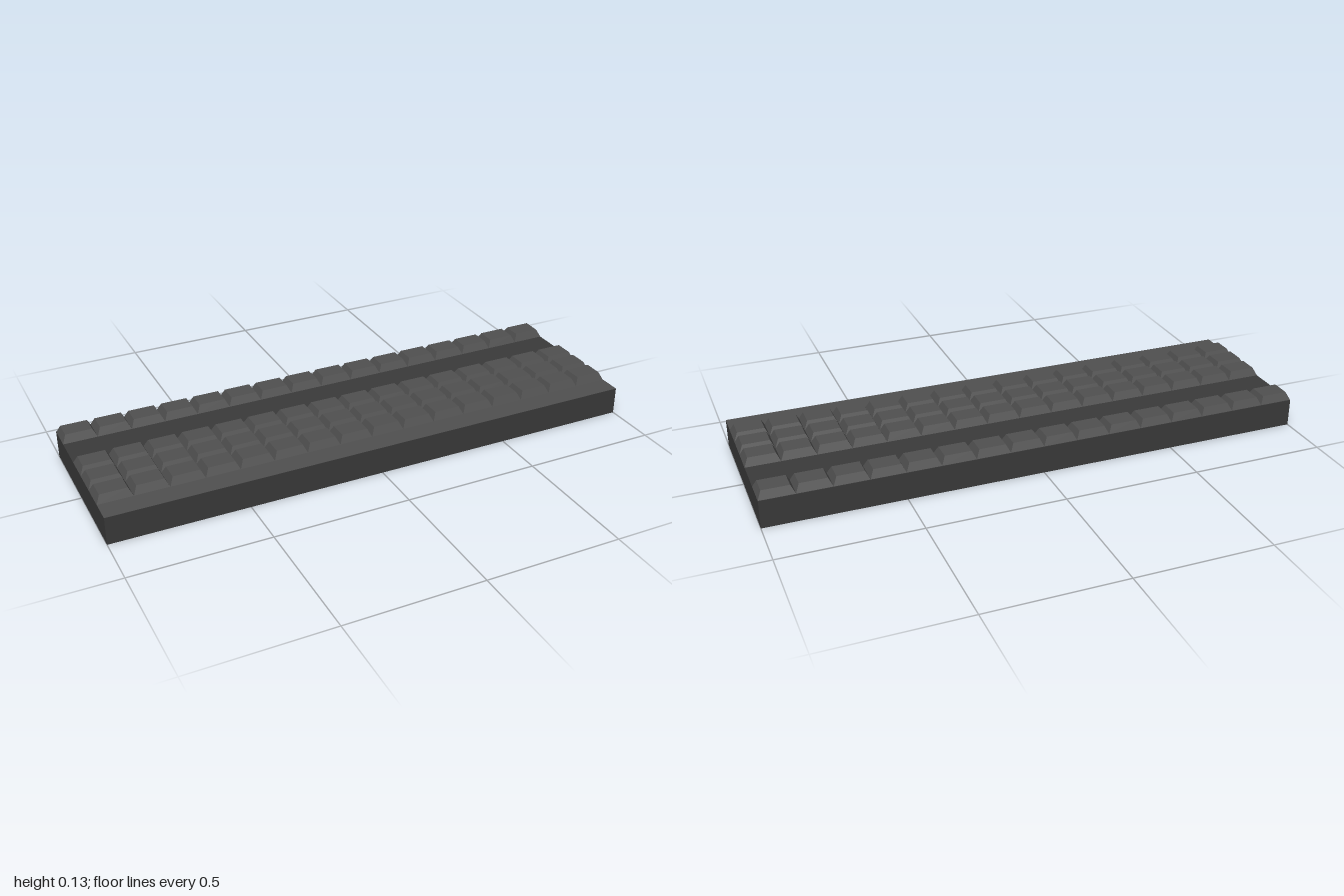
import * as THREE from 'three';

const COLUMNS = 16;
const WIDTH = 2, DEPTH = 0.61, DECK = 0.103;
const KEY_HEIGHT = 0.029, INSET = 0.014;

// Box whose top face is drawn in on all four sides
function keycapGeometry(width, depth) {
  const geometry = new THREE.BoxGeometry(width, KEY_HEIGHT, depth);
  geometry.translate(0, KEY_HEIGHT / 2, 0);
  const p = geometry.attributes.position;
  for (let i = 0; i < p.count; i++) {
    if (p.getY(i) < KEY_HEIGHT / 2) continue;
    p.setX(i, p.getX(i) - Math.sign(p.getX(i)) * INSET);
    p.setZ(i, p.getZ(i) - Math.sign(p.getZ(i)) * INSET);
  }
  geometry.computeVertexNormals();
  return geometry;
}

export function createModel() {
  const group = new THREE.Group();
  const bodyMaterial = new THREE.MeshStandardMaterial({ color: 0x3a3a3a, flatShading: true });
  const keyMaterial = new THREE.MeshStandardMaterial({ color: 0x505050, flatShading: true });

  // Solid case
  const body = new THREE.Mesh(new THREE.BoxGeometry(WIDTH, DECK, DEPTH), bodyMaterial);
  body.name = 'case';
  body.position.y = DECK / 2;
  group.add(body);

  // Lighter strip along the front edge of the deck
  const strip = new THREE.Mesh(new THREE.PlaneGeometry(WIDTH, 0.084), keyMaterial);
  strip.name = 'frontStrip';
  strip.rotation.x = -Math.PI / 2;
  strip.position.set(0, DECK + 0.0006, 0.263);
  group.add(strip);

  // Three main rows and a separate row at the back
  const pitch = WIDTH / COLUMNS;
  const keyGeometry = keycapGeometry(pitch, 0.0975);
  [['frontRow', 0.173], ['middleRow', 0.0755], ['upperRow', -0.022], ['backRow', -0.254]].forEach(([name, z]) => {
    const row = new THREE.Group();
    row.name = name;
    for (let i = 0; i < COLUMNS; i++) {
      const key = new THREE.Mesh(keyGeometry, keyMaterial);
      key.name = 'keycap';
      key.position.set((i + 0.5) * pitch - WIDTH / 2, DECK, z);
      row.add(key);
    }
    group.add(row);
  });

  return group;
}
